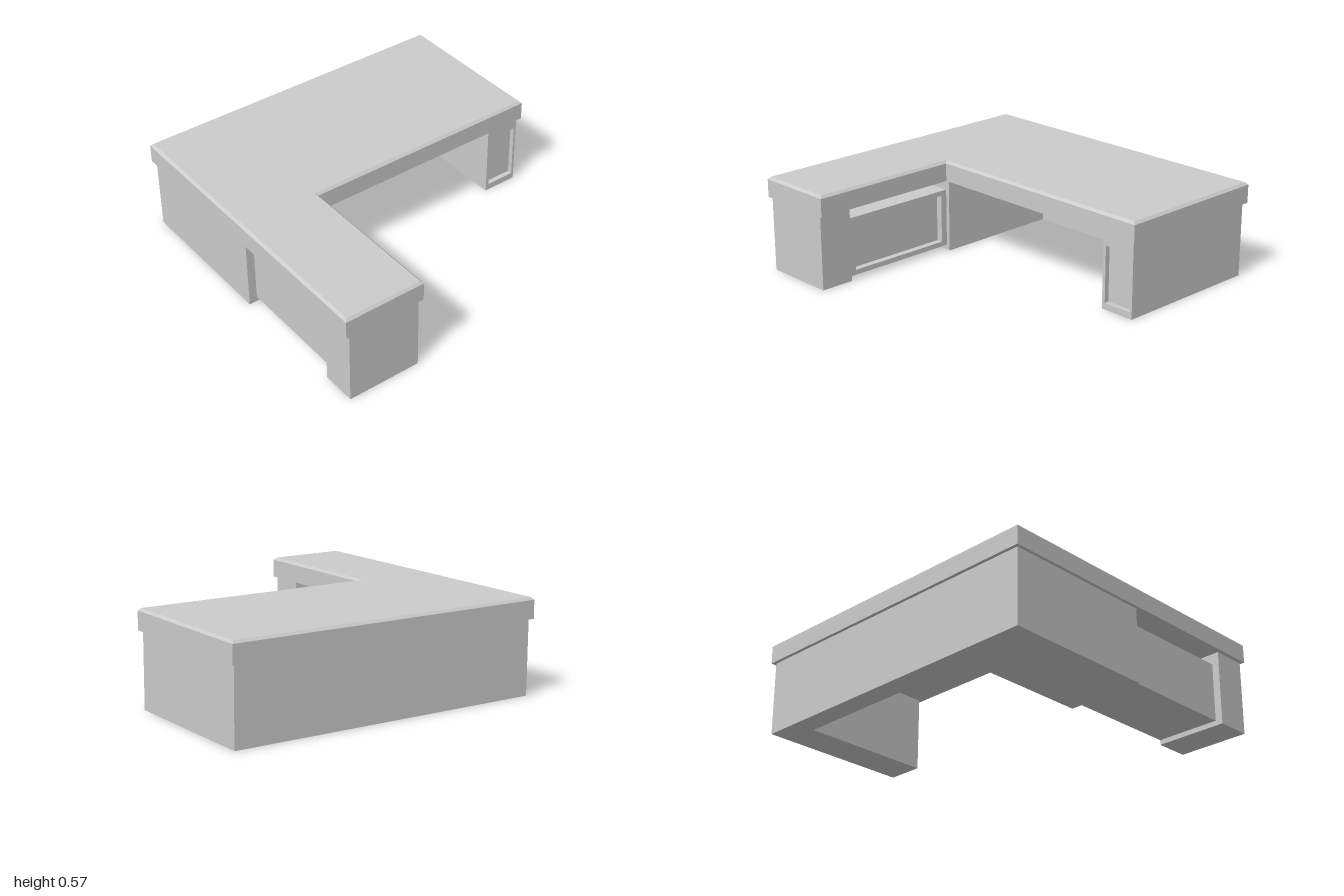
import * as THREE from 'three';

const material = new THREE.MeshStandardMaterial({ color: 0xcccccc, flatShading: true });

function addMesh(parent, name, geometry) {
  const mesh = new THREE.Mesh(geometry, material);
  mesh.name = name;
  parent.add(mesh);
  return mesh;
}

// Box given by its extents on each axis
function addBlock(parent, name, [x0, x1], [y0, y1], [z0, z1]) {
  const mesh = addMesh(parent, name, new THREE.BoxGeometry(x1 - x0, y1 - y0, z1 - z0));
  mesh.position.set((x0 + x1) / 2, (y0 + y1) / 2, (z0 + z1) / 2);
}

function rectangle(target, [u0, u1], [v0, v1]) {
  target.moveTo(u0, v0).lineTo(u1, v0).lineTo(u1, v1).lineTo(u0, v1).closePath();
  return target;
}

// Raised border around a sunken panel, lying in the xy plane and facing +z
function frameGeometry(outerU, outerV, innerU, innerV, depth) {
  const shape = rectangle(new THREE.Shape(), outerU, outerV);
  shape.holes.push(rectangle(new THREE.Path(), innerU, innerV));
  return new THREE.ExtrudeGeometry(shape, { depth, bevelEnabled: false });
}

// L-shaped slab with a small chamfer around its top edge
function counterGeometry() {
  const chamfer = 0.015, height = 0.125;
  const outline = [[-0.96, 1], [0.96, 1], [0.96, 0.5], [0.02, 0.5], [0.02, -1], [-0.96, -1]];
  const shape = new THREE.Shape(outline.map(([x, z]) => new THREE.Vector2(x, -z)));
  const geometry = new THREE.ExtrudeGeometry(shape, { depth: height, steps: 2, bevelEnabled: false });
  geometry.rotateX(-Math.PI / 2);
  const p = geometry.attributes.position;
  for (let i = 0; i < p.count; i++) {
    const x = p.getX(i), y = p.getY(i), z = p.getZ(i);
    if (y > height * 0.75) {
      p.setX(i, x + (x < -0.5 ? chamfer : -chamfer));
      p.setZ(i, z + (z > 0.9 ? -chamfer : chamfer));
    } else if (y > height * 0.25) {
      p.setY(i, height - chamfer);
    }
  }
  geometry.computeVertexNormals();
  return geometry;
}

export function createModel() {
  const group = new THREE.Group();
  group.name = 'cornerDesk';
  const baseY = [0, 0.45];

  addMesh(group, 'countertop', counterGeometry()).position.y = 0.45;

  // Base: corner cabinet, long side wall and supporting post
  addBlock(group, 'cornerCabinet', [-0.94, 0], baseY, [0.5, 0.98]);
  addBlock(group, 'sideWall', [-0.94, -0.81], baseY, [-0.76, 0.5]);
  addBlock(group, 'post', [0.74, 0.95], baseY, [0.525, 0.975]);

  // End cabinet with a sunken panel facing +x
  const inset = 0.03;
  const endCabinet = new THREE.Group();
  endCabinet.name = 'endCabinet';
  group.add(endCabinet);
  addBlock(endCabinet, 'endCabinetBody', [-0.94, -inset], baseY, [-0.98, -0.76]);
  const endFrame = addMesh(endCabinet, 'endCabinetFrame',
    frameGeometry([0.76, 0.98], baseY, [0.78, 0.965], [0.04, 0.38], inset));
  endFrame.rotation.y = Math.PI / 2;
  endFrame.position.x = -inset;

  // Hanging drawer unit with a sunken panel facing the back
  const recess = 0.04;
  const drawerUnit = new THREE.Group();
  drawerUnit.name = 'drawerUnit';
  group.add(drawerUnit);
  addBlock(drawerUnit, 'drawerBody', [0, 0.74], [0.03, 0.385], [0.525 + recess, 0.93]);
  const drawerFrame = addMesh(drawerUnit, 'drawerFrame',
    frameGeometry([-0.74, 0], [0.03, 0.385], [-0.71, -0.04], [0.06, 0.355], recess));
  drawerFrame.rotation.y = Math.PI;
  drawerFrame.position.z = 0.525 + recess;

  return group;
}
